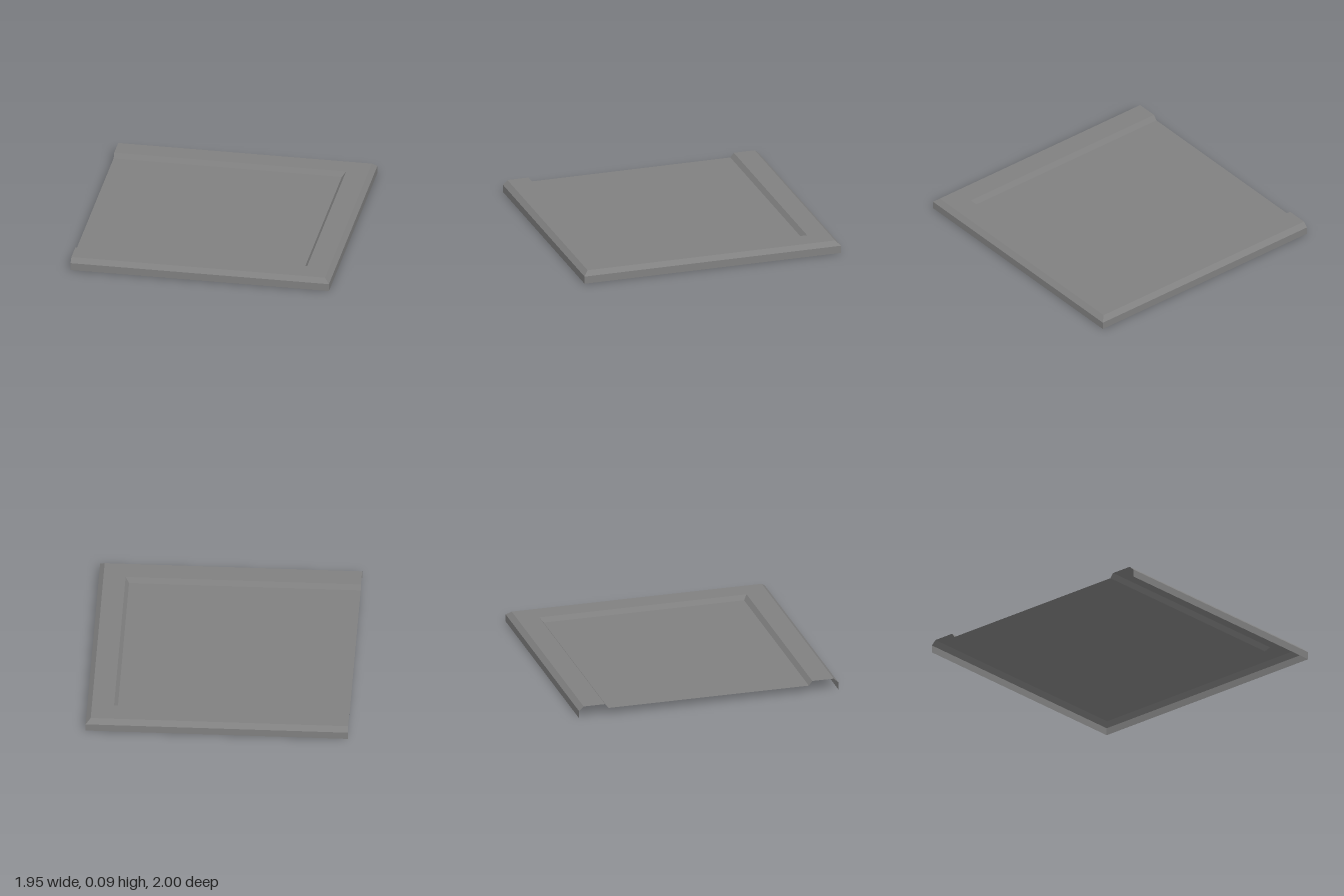
import * as THREE from 'three';

const HALF_X = 0.973, HALF_Z = 1;

// Three-sided outline at a given inset and height, open on the -x side
function outline([inset, y]) {
  const x = HALF_X - inset, z = HALF_Z - inset;
  return [[-HALF_X, y, z], [x, y, z], [x, y, -z], [-HALF_X, y, -z]];
}

function facesMesh(name, quads, material) {
  const positions = quads.flatMap(([a, b, c, d]) => [a, b, c, a, c, d]).flat();
  const geometry = new THREE.BufferGeometry();
  geometry.setAttribute('position', new THREE.Float32BufferAttribute(positions, 3));
  geometry.computeVertexNormals();
  const mesh = new THREE.Mesh(geometry, material);
  mesh.name = name;
  return mesh;
}

// Band of three quads joining a lower/outer outline to the next one inward
function band(name, from, to, material) {
  const a = outline(from), b = outline(to);
  return facesMesh(name, [0, 1, 2].map(i => [a[i], a[i + 1], b[i + 1], b[i]]), material);
}

export function createModel() {
  const grey = new THREE.MeshStandardMaterial({ color: 0x808080, side: THREE.DoubleSide });
  grey.name = 'plain grey';
  const group = new THREE.Group();
  group.name = 'edgePanel';

  // Rim cross-section as [inset, height], from the foot to the recess
  const profile = [[0, 0], [0, 0.057], [0.036, 0.09], [0.2, 0.09], [0.227, 0.056]];
  const names = ['outerWall', 'outerBevel', 'rimTop', 'recessSlope'];
  names.forEach((name, i) => group.add(band(name, profile[i], profile[i + 1], grey)));

  // Sunken flat panel inside the rim
  group.add(facesMesh('recessedPanel', [outline(profile[4])], grey));
  return group;
}
